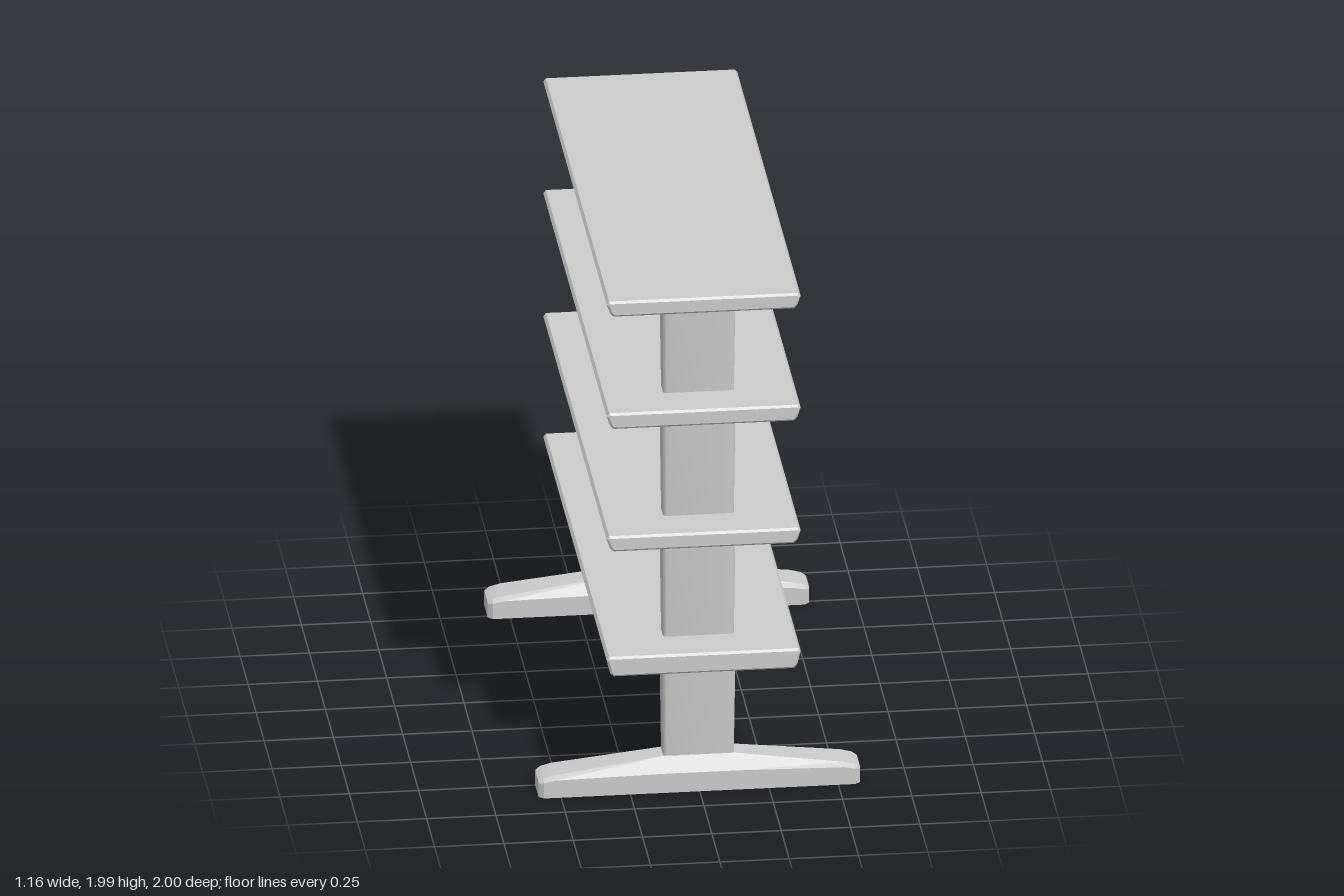
import * as THREE from 'three';
import { toCreasedNormals } from 'three/addons/utils/BufferGeometryUtils.js';

const grey = new THREE.MeshStandardMaterial({ color: 0xcccccc });
const greyOpen = new THREE.MeshStandardMaterial({ color: 0xcccccc, side: THREE.DoubleSide });
const POST_Z = 0.797;
// bottom and top height of each shelf
const SHELVES = [[0.52, 0.597], [1.01, 1.07], [1.49, 1.552], [1.93, 1.99]];

function mesh(name, geometry, material = grey) {
  const m = new THREE.Mesh(geometry, material);
  m.name = name;
  return m;
}

// Board with sides leaning outward and softened edges, running along z
function shelfGeometry(y0, y1) {
  const half = [[0.325, y0], [0.337, y0 + 0.012], [0.35, y1 - 0.012], [0.341, y1]];
  const outline = [...half, ...half.map(([x, y]) => [-x, y]).reverse()];
  const shape = new THREE.Shape(outline.map(([x, y]) => new THREE.Vector2(x, y)));
  const bevel = 0.008;
  const g = new THREE.ExtrudeGeometry(shape, {
    depth: 2 - 2 * bevel, bevelThickness: bevel, bevelSize: bevel, bevelOffset: -bevel, bevelSegments: 1,
  });
  return g.translate(0, 0, -1 + bevel);
}

// Upright segment with rounded corners, narrowing towards its foot
function postGeometry(y0, y1) {
  const w = 0.132, d = 0.062, r = 0.018;
  const s = new THREE.Shape();
  s.absarc(w - r, d - r, r, 0, Math.PI / 2);
  s.absarc(-w + r, d - r, r, Math.PI / 2, Math.PI);
  s.absarc(-w + r, -d + r, r, Math.PI, Math.PI * 1.5);
  s.absarc(w - r, -d + r, r, Math.PI * 1.5, Math.PI * 2);
  const g = new THREE.ExtrudeGeometry(s, { depth: y1 - y0, bevelEnabled: false, curveSegments: 4 });
  g.rotateX(-Math.PI / 2).translate(0, y0, 0);
  const p = g.attributes.position;
  for (let i = 0; i < p.count; i++) {
    const t = (p.getY(i) - y0) / (y1 - y0);
    p.setX(i, p.getX(i) * (0.97 + 0.03 * t));
    p.setZ(i, p.getZ(i) * (0.66 + 0.34 * t));
  }
  return toCreasedNormals(g, 0.6);
}

// Hollow foot: sections along x as [x, half depth, shoulder y, top half depth, top y]
function footGeometry() {
  const side = [
    [0.13, 0.075, 0.075, 0.041, 0.13],
    [0.52, 0.075, 0.068, 0.056, 0.081],
    [0.562, 0.075, 0.06, 0.054, 0.071],
    [0.58, 0.058, 0.052, 0.046, 0.06],
  ];
  const sections = [...side.map(([x, ...r]) => [-x, ...r]).reverse(), ...side];
  const pos = [], index = [], n = 6;
  for (const [x, h, s, t, top] of sections) {
    for (const [y, z] of [[0, h], [s, h], [top, t], [top, -t], [s, -h], [0, -h]]) pos.push(x, y, z);
  }
  for (let i = 0; i < sections.length - 1; i++) {
    for (let j = 0; j < n - 1; j++) {
      const a = i * n + j, b = a + n;
      index.push(a, b, b + 1, a, b + 1, a + 1);
    }
  }
  // end caps
  const last = (sections.length - 1) * n;
  for (let j = 1; j < n - 1; j++) {
    index.push(0, j, j + 1, last, last + j + 1, last + j);
  }
  const g = new THREE.BufferGeometry();
  g.setAttribute('position', new THREE.Float32BufferAttribute(pos, 3));
  g.setIndex(index);
  return toCreasedNormals(g, 0.4);
}

export function createModel() {
  const model = new THREE.Group();
  model.name = 'shelvingUnit';

  SHELVES.forEach(([y0, y1], i) => model.add(mesh(`shelf${i + 1}`, shelfGeometry(y0, y1))));

  // Front and back trestles: a foot and one upright segment below each shelf
  for (const [name, sign] of [['front', 1], ['back', -1]]) {
    const support = new THREE.Group();
    support.name = `${name}Support`;
    support.position.z = sign * POST_Z;
    support.add(mesh(`${name}Foot`, footGeometry(), greyOpen));
    SHELVES.forEach(([y0], i) => {
      const base = i === 0 ? 0.128 : SHELVES[i - 1][1];
      support.add(mesh(`${name}Post${i + 1}`, postGeometry(base, y0)));
    });
    model.add(support);
  }
  return model;
}
